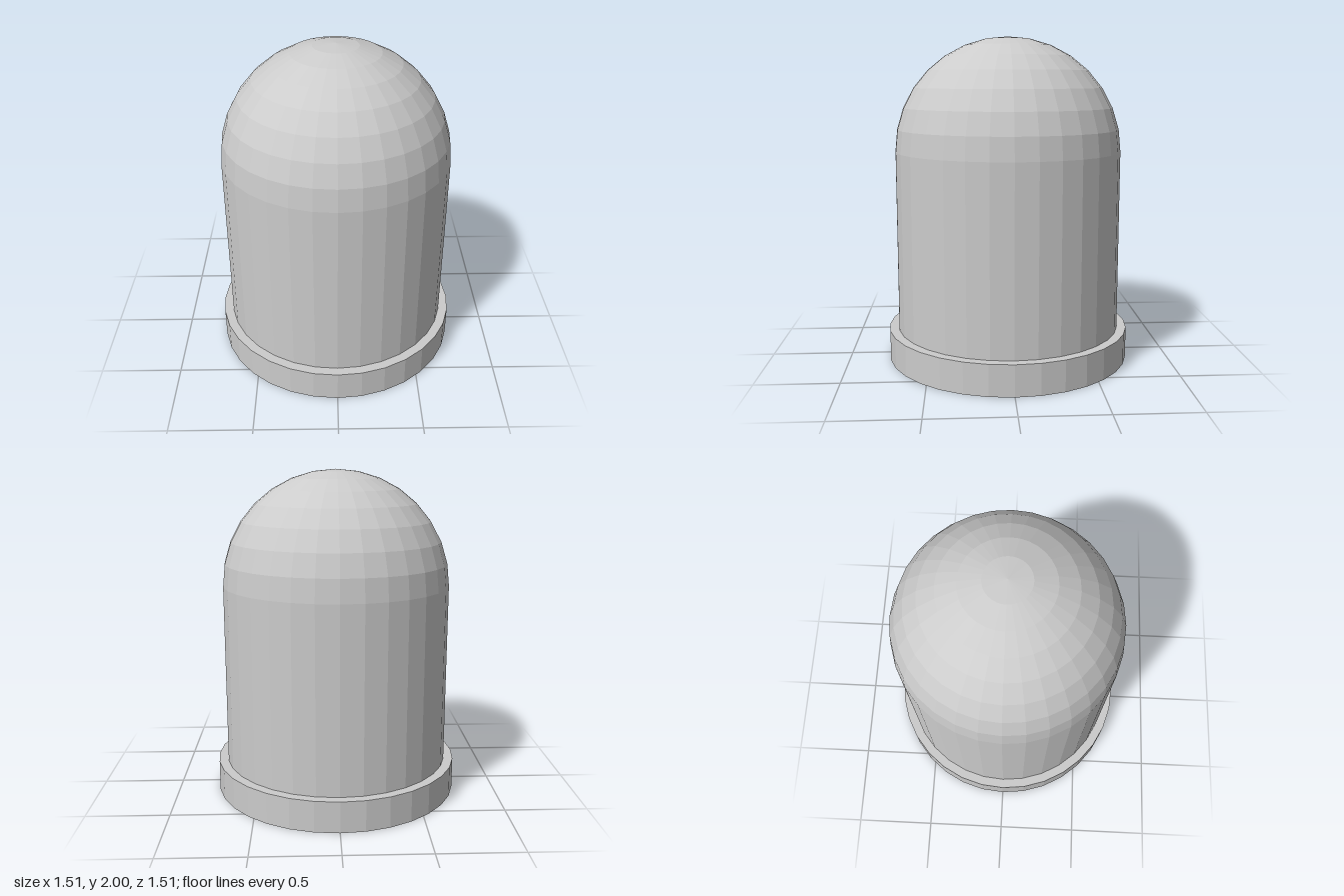
import * as THREE from 'three';

const SIDES = 32;
const BODY_R = 0.697, FLANGE_R = 0.755, FLANGE_H = 0.19, SPRING_Y = 1.303;

export function createModel() {
  const group = new THREE.Group();
  const material = new THREE.MeshStandardMaterial({ color: 0xcccccc, flatShading: true });
  const add = (name, geometry, y) => {
    const mesh = new THREE.Mesh(geometry, material);
    mesh.name = name;
    mesh.position.y = y;
    group.add(mesh);
  };

  // Wide base flange, closed underneath
  add('baseFlange', new THREE.CylinderGeometry(FLANGE_R, FLANGE_R, FLANGE_H, SIDES), FLANGE_H / 2);

  // Straight body wall, from the flange up to the dome
  const wallH = SPRING_Y - FLANGE_H;
  add('bodyWall', new THREE.CylinderGeometry(BODY_R, BODY_R, wallH, SIDES, 1, true), FLANGE_H + wallH / 2);

  // Hemispherical dome
  add('dome', new THREE.SphereGeometry(BODY_R, SIDES, 8, 0, Math.PI * 2, 0, Math.PI / 2), SPRING_Y);

  return group;
}
